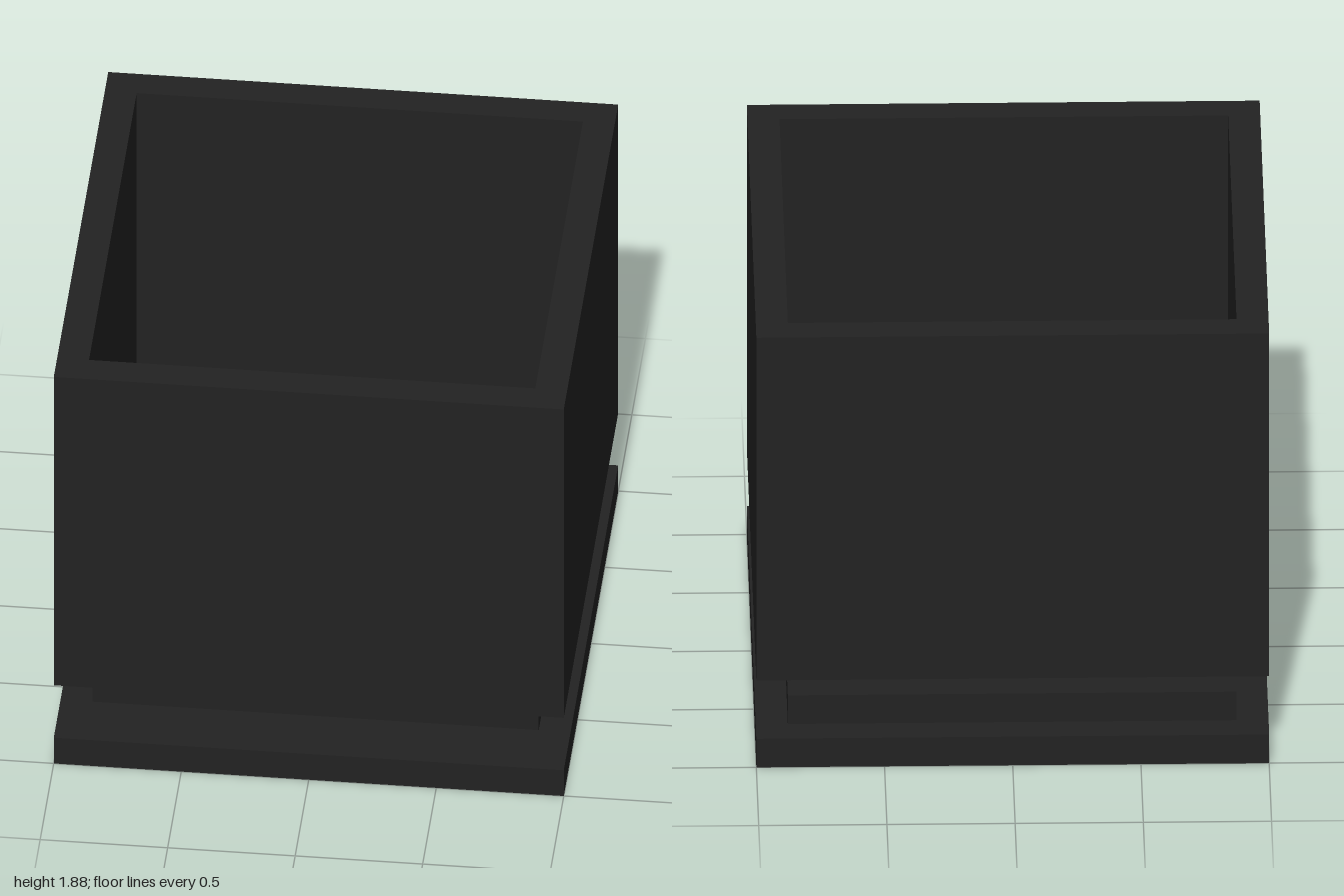
import * as THREE from 'three';

export function createModel() {
  const model = new THREE.Group();
  const black = new THREE.MeshStandardMaterial({ color: 0x222222 });
  black.name = 'matte black';

  const add = (name, geometry, x, y, z) => {
    const mesh = new THREE.Mesh(geometry, black);
    mesh.name = name;
    mesh.position.set(x, y, z);
    model.add(mesh);
    return mesh;
  };

  // Base plate, with a raised step set back from the front
  add('basePlate', new THREE.BoxGeometry(2, 0.125, 2), 0, 0.0625, 0);
  add('baseStep', new THREE.BoxGeometry(1.75, 0.125, 1.625), 0, 0.1875, -0.0625);

  // Square sleeve, open at top and bottom, floating above the base
  const square = (PathType, r) =>
    new PathType([[-r, -r], [r, -r], [r, r], [-r, r]].map(([x, y]) => new THREE.Vector2(x, y))).closePath();
  const outline = square(THREE.Shape, 1);
  outline.holes.push(square(THREE.Path, 0.875));
  const walls = new THREE.ExtrudeGeometry(outline, { depth: 1.5, bevelEnabled: false });
  walls.rotateX(-Math.PI / 2);
  add('sleeveWalls', walls, 0, 0.38, 0);

  return model;
}
